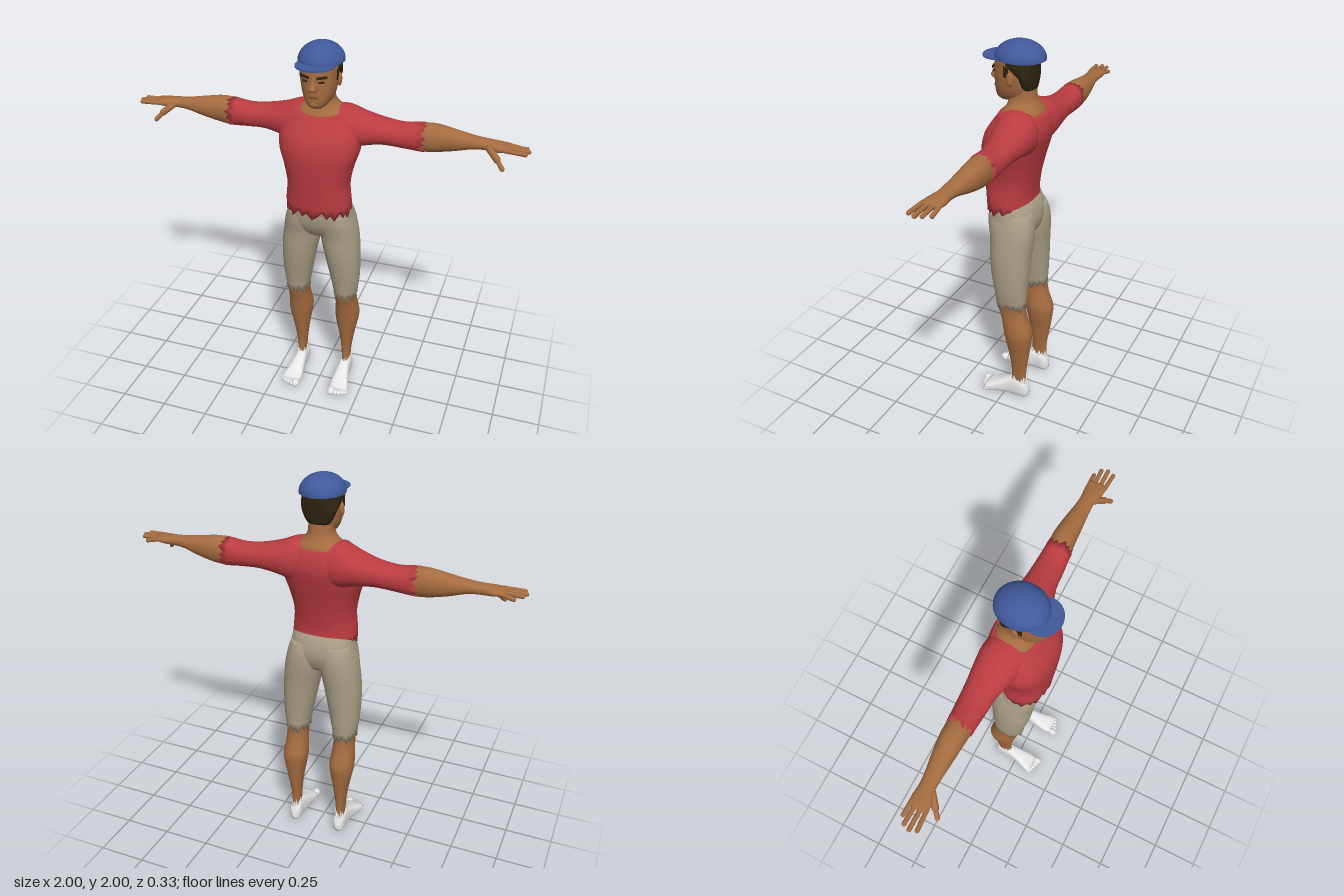
import * as THREE from 'three';

const mat = (name, color) => {
  const m = new THREE.MeshStandardMaterial({ color });
  m.name = name;
  return m;
};

// Smoothly interpolate profile rows [station, minA, maxA, minB, maxB]
function sample(rows, s) {
  let i = 0;
  while (i < rows.length - 2 && s > rows[i + 1][0]) i++;
  const p = rows[i], q = rows[i + 1], h = q[0] - p[0], t = (s - p[0]) / h;
  const slope = (k, c) => {
    const a = rows[Math.max(k - 1, 0)], b = rows[Math.min(k + 1, rows.length - 1)];
    return (b[c] - a[c]) / (b[0] - a[0]) * h;
  };
  const t2 = t * t, t3 = t2 * t;
  return [1, 2, 3, 4].map(c => p[c] * (2 * t3 - 3 * t2 + 1) + slope(i, c) * (t3 - 2 * t2 + t)
    + q[c] * (3 * t2 - 2 * t3) + slope(i + 1, c) * (t3 - t2));
}

// Stack rounded rings along an axis; lo and hi shift the end rims per corner
function loft(rows, axis, { from = rows[0][0], to = rows[rows.length - 1][0], steps = 20, segs = 32,
  power = 0.9, grow = 0, lo, hi } = {}) {
  const pos = [], index = [];
  const put = (a, s, b) => pos.push(...(axis === 'y' ? [a, s, b] : axis === 'x' ? [s, a, b] : [a, b, s]));
  const bend = v => Math.sign(v) * Math.abs(v) ** power;
  for (let i = 0; i <= steps; i++) {
    const s = from + (to - from) * i / steps, [a0, a1, b0, b1] = sample(rows, s);
    for (let j = 0; j < segs; j++) {
      const t = j / segs * Math.PI * 2;
      const shift = i === 0 && lo ? lo(j, t) : i === steps && hi ? hi(j, t) : 0;
      put((a0 + a1) / 2 + ((a1 - a0) / 2 + grow) * bend(Math.cos(t)), s + shift,
        (b0 + b1) / 2 + ((b1 - b0) / 2 + grow) * bend(Math.sin(t)));
    }
  }
  const tri = (a, b, c) => axis === 'y' ? index.push(a, b, c) : index.push(a, c, b);
  for (let i = 0; i < steps; i++) for (let j = 0; j < segs; j++) {
    const a = i * segs + j, b = i * segs + (j + 1) % segs;
    tri(a, a + segs, b);
    tri(b, a + segs, b + segs);
  }
  // end caps
  [[from, 0], [to, steps]].forEach(([s, row]) => {
    const [a0, a1, b0, b1] = sample(rows, s), c = pos.length / 3;
    put((a0 + a1) / 2, s, (b0 + b1) / 2);
    for (let j = 0; j < segs; j++) {
      const a = row * segs + j, b = row * segs + (j + 1) % segs;
      row ? tri(c, b, a) : tri(c, a, b);
    }
  });
  const g = new THREE.BufferGeometry();
  g.setAttribute('position', new THREE.Float32BufferAttribute(pos, 3));
  g.setIndex(index);
  g.computeVertexNormals();
  return g;
}

// Symmetric vertical rows [y, halfWidth, backZ, frontZ]
const even = rows => rows.map(([y, w, b, f]) => [y, -w, w, b, f]);

function mirror(g) {
  const m = g.clone().scale(-1, 1, 1), ix = m.index.array;
  for (let i = 0; i < ix.length; i += 3) [ix[i], ix[i + 1]] = [ix[i + 1], ix[i]];
  m.computeVertexNormals();
  return m;
}

function capsule(p, q, r) {
  const a = new THREE.Vector3(...p), b = new THREE.Vector3(...q), d = b.clone().sub(a);
  const g = new THREE.CapsuleGeometry(r, d.length(), 5, 10);
  g.applyQuaternion(new THREE.Quaternion().setFromUnitVectors(new THREE.Vector3(0, 1, 0), d.normalize()));
  return g.translate(...a.add(b).multiplyScalar(0.5).toArray());
}

const ball = (x, y, z, rx, ry, rz) => new THREE.SphereGeometry(1, 16, 12).scale(rx, ry, rz).translate(x, y, z);
const plate = (w, h, x, y, z, ry, rz = 0) =>
  new THREE.BoxGeometry(w, h, 0.006).rotateZ(rz).rotateY(ry).translate(x, y, z);
const ragged = amp => j => amp * ((j * 7) % 5) / 4;

const TORSO = even([[1.13, .165, -.12, .122], [1.2, .163, -.1, .13], [1.3, .155, -.11, .14], [1.4, .174, -.13, .147],
  [1.48, .198, -.15, .147], [1.55, .2, -.165, .13], [1.6, .182, -.163, .1], [1.655, .137, -.143, .062], [1.7, .1, -.12, .03]]);
const PELVIS = even([[.985, .09, -.08, .04], [1.0, .15, -.105, .065], [1.05, .179, -.128, .098],
  [1.1, .174, -.135, .114], [1.16, .164, -.122, .12], [1.2, .158, -.1, .125]]);
const NECK = even([[1.6, .13, -.14, .07], [1.66, .126, -.138, .054], [1.69, .09, -.122, .036],
  [1.72, .066, -.108, .034], [1.8, .062, -.1, .04]]);
const HEAD = even([[1.705, .03, .01, .078], [1.715, .045, -.03, .092], [1.735, .062, -.075, .1], [1.77, .077, -.092, .103],
  [1.82, .087, -.1, .104], [1.87, .091, -.102, .104], [1.92, .094, -.104, .097], [1.95, .08, -.09, .08]]);
const HAIR = even([[1.775, .055, -.104, -.04], [1.8, .072, -.107, -.035], [1.84, .088, -.109, -.025],
  [1.87, .096, -.11, .02], [1.9, .098, -.111, .07], [1.93, .097, -.11, .085]]);
const LEG = [[.04, .11, .155, -.125, -.04], [.13, .11, .155, -.125, -.04], [.2, .105, .16, -.128, -.04],
  [.3, .093, .175, -.143, -.025], [.4, .075, .195, -.155, -.008], [.45, .07, .2, -.156, 0], [.53, .078, .192, -.13, .015],
  [.6, .08, .19, -.118, .035], [.7, .062, .203, -.12, .05], [.8, .043, .207, -.125, .068], [.9, .022, .205, -.13, .08],
  [1.0, .003, .194, -.138, .085], [1.08, 0, .178, -.137, .1], [1.14, .01, .16, -.12, .1]];
const ARM = [[.04, 1.46, 1.68, -.15, .06], [.12, 1.47, 1.685, -.163, .05], [.2, 1.495, 1.655, -.16, .03],
  [.3, 1.51, 1.63, -.15, 0], [.4, 1.505, 1.62, -.145, -.01], [.5, 1.495, 1.635, -.14, -.02], [.56, 1.5, 1.635, -.14, -.025],
  [.65, 1.52, 1.62, -.13, -.03], [.74, 1.545, 1.605, -.115, -.035], [.8, 1.55, 1.6, -.11, -.035],
  [.85, 1.552, 1.595, -.115, -.02], [.9, 1.562, 1.588, -.113, -.016]];
const FOOT = [[-.142, .12, .143, .02, .05], [-.135, .107, .155, .008, .085], [-.11, .1, .163, 0, .11], [-.07, .1, .165, 0, .125],
  [-.03, .096, .166, 0, .112], [.03, .09, .178, 0, .08], [.08, .086, .193, 0, .055], [.11, .092, .196, .002, .042]];

export function createModel() {
  const skin = mat('skin', 0xa56c40), red = mat('red shirt', 0xbb3c41), beige = mat('beige shorts', 0xaa9d85);
  const white = mat('white socks', 0xe6e6e6), dark = mat('dark hair', 0x2e2512), blue = mat('blue cap', 0x41599b);
  const lip = mat('lips', 0x7d4b30);
  const model = new THREE.Group();
  model.name = 'man';
  const add = (name, g, m) => {
    const mesh = new THREE.Mesh(g, m);
    mesh.name = name;
    model.add(mesh);
  };
  const pair = (name, g, m) => {
    add('left ' + name, g, m);
    add('right ' + name, mirror(g), m);
  };

  // Trunk and clothes
  add('shirt', loft(TORSO, 'y', { from: 1.17, to: 1.655, steps: 28, segs: 48, power: .85, grow: .003,
    lo: j => -ragged(.045)(j), hi: (j, t) => .02 * Math.cos(t) ** 2 }), red);
  add('shorts seat', loft(PELVIS, 'y', { segs: 40, power: .85 }), beige);
  add('neck', loft(NECK, 'y'), skin);

  // Arms, hands and sleeves
  pair('sleeve', loft(ARM, 'x', { to: .485, steps: 22, grow: .003, hi: ragged(.03) }), red);
  pair('forearm', loft(ARM, 'x', { from: .46, steps: 26 }), skin);
  [[-.104, -.108, .945], [-.079, -.084, .978], [-.052, -.053, .99], [-.026, -.02, .978]].forEach(([z0, z1, x], i) =>
    pair('finger ' + (i + 1), capsule([.88, 1.575, z0], [x, i === 0 ? 1.562 : 1.572, z1], .0105), skin));
  pair('thumb base', capsule([.81, 1.57, -.04], [.855, 1.535, -.006], .017), skin);
  pair('thumb', capsule([.855, 1.535, -.006], [.885, 1.502, .017], .0115), skin);

  // Legs, shorts and feet
  pair('lower leg', loft(LEG, 'y', { to: .66, steps: 28 }), skin);
  pair('shorts leg', loft(LEG, 'y', { from: .625, steps: 26, grow: .003, lo: j => -ragged(.04)(j) }), beige);
  pair('ankle sock', loft(LEG, 'y', { from: .05, to: .1, steps: 4, grow: .004, hi: ragged(.045) }), white);
  pair('foot', loft(FOOT, 'z', { power: .75 }), white);
  [[.106, .125, .021], [.131, .124, .014], [.151, .118, .0135], [.17, .111, .013], [.186, .102, .0125]].forEach(([x, z, r], i) =>
    pair('toe ' + (i + 1), ball(x, r + .001, z, r, r, r * 1.3), white));

  // Head and face
  add('head', loft(HEAD, 'y', { steps: 28 }), skin);
  add('hair', loft(HAIR, 'y'), dark);
  add('nose', loft([[1.795, -.012, .012, .085, .11], [1.802, -.02, .02, .085, .127], [1.812, -.018, .018, .085, .134],
    [1.84, -.011, .011, .085, .118], [1.87, -.009, .009, .085, .106]], 'y', { steps: 12, segs: 16 }), skin);
  add('mouth', plate(.046, .009, 0, 1.768, .103, 0), lip);
  add('chin', ball(0, 1.732, .083, .026, .019, .021), skin);
  pair('eyebrow', plate(.05, .011, .043, 1.868, .099, .32, .12), dark);
  pair('eye', plate(.028, .008, .041, 1.846, .099, .3), dark);
  pair('sideburn', plate(.025, .055, .09, 1.865, .01, Math.PI / 2), dark);
  pair('ear', ball(.093, 1.832, -.012, .011, .034, .019).rotateX(0), skin);

  // Cap with a thin peak
  add('cap dome', new THREE.SphereGeometry(1, 40, 14, 0, Math.PI * 2, 0, Math.PI / 2)
    .scale(.111, .087, .126).translate(0, 1.913, -.022), blue);
  add('cap underside', new THREE.CircleGeometry(1, 40).rotateX(Math.PI / 2)
    .scale(.111, 1, .126).translate(0, 1.913, -.022), blue);
  const peak = new THREE.Shape();
  peak.moveTo(-.09, .04);
  peak.lineTo(-.092, .09);
  peak.bezierCurveTo(-.075, .19, .075, .19, .092, .09);
  peak.lineTo(.09, .04);
  add('cap peak', new THREE.ExtrudeGeometry(peak, { depth: .007, bevelEnabled: false, curveSegments: 20 })
    .rotateX(Math.PI / 2).translate(0, 1.92, 0), blue);
  return model;
}
